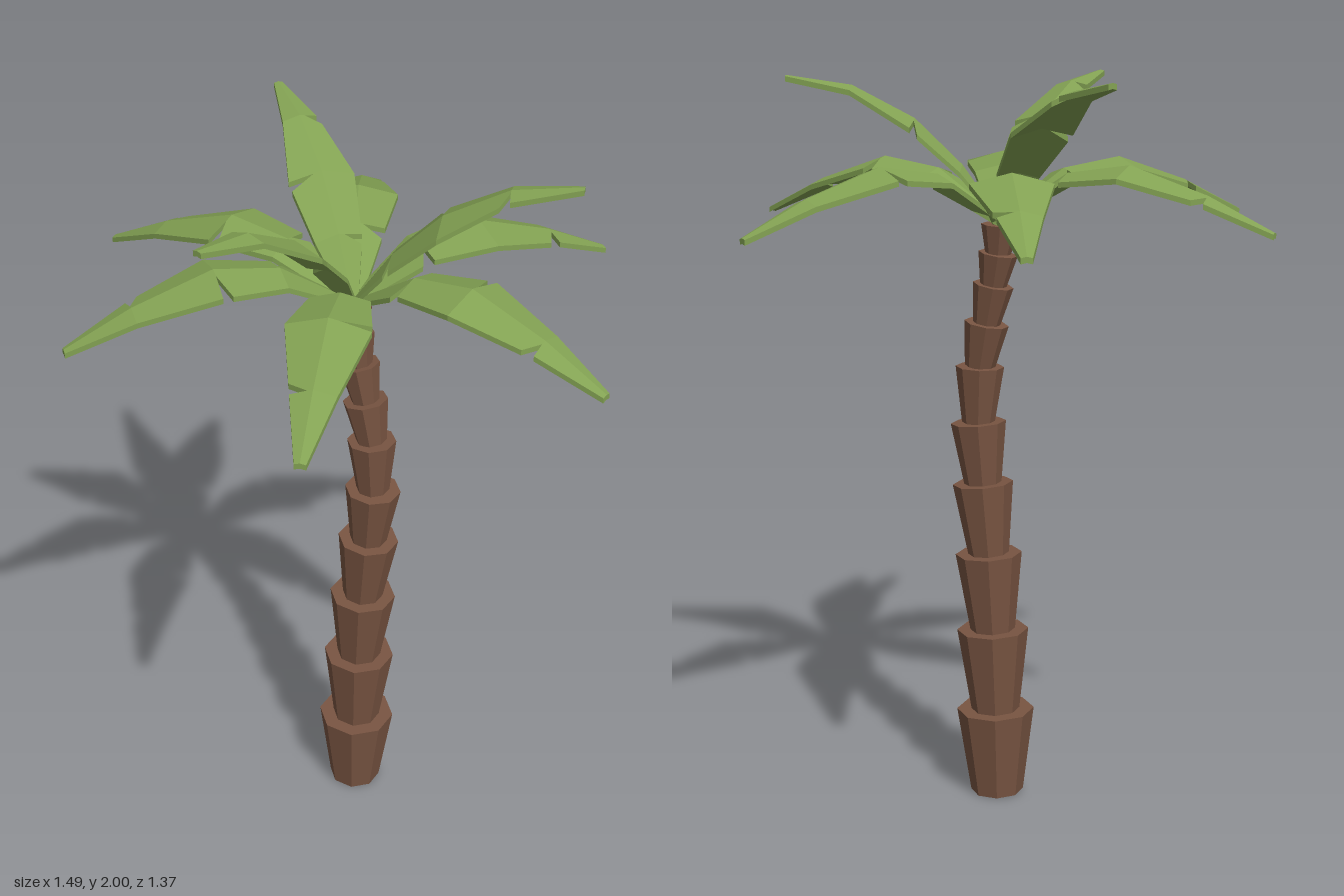
import * as THREE from 'three';

const bark = new THREE.MeshStandardMaterial({ color: 0x795542, flatShading: true });
bark.name = 'bark brown';
const leaf = new THREE.MeshStandardMaterial({ color: 0x83a253, flatShading: true });
leaf.name = 'leaf green';

const CENTER_Z = -0.02;

// Top of each trunk segment: x, y, half width
const RINGS = [
  [0.015, 0.245, 0.1], [0.023, 0.48, 0.092], [0.035, 0.7, 0.085], [0.052, 0.9, 0.077],
  [0.065, 1.07, 0.07], [0.06, 1.225, 0.061], [0.04, 1.345, 0.056], [0.02, 1.45, 0.051],
  [0.006, 1.535, 0.049], [0, 1.612, 0.047],
];

// Frond spines: distance from the crown, height above its base
const DROOPING = [[0, 0], [0.19, 0.125], [0.36, 0.15], [0.57, 0.08], [0.745, -0.005]];
const RAISED = [[0, 0], [0.1, 0.14], [0.225, 0.26], [0.39, 0.345], [0.565, 0.37]];
const WIDTHS = [0.02, 0.075, 0.105, 0.056, 0.014];

// Trunk of stacked, flared octagonal segments following the bend
function makeTrunk() {
  const trunk = new THREE.Group();
  trunk.name = 'trunk';
  let base = new THREE.Vector3(0.01, 0, CENTER_Z);
  const up = new THREE.Vector3(0, 1, 0);
  RINGS.forEach(([x, y, half], i) => {
    const top = new THREE.Vector3(x, y, CENTER_Z);
    const dir = top.clone().sub(base);
    const r = half / Math.cos(Math.PI / 8);
    const geo = new THREE.CylinderGeometry(r, r * 0.68, dir.length(), 8);
    geo.rotateY(Math.PI / 8);
    const segment = new THREE.Mesh(geo, bark);
    segment.name = `trunkSegment${i + 1}`;
    segment.position.copy(base).add(top).multiplyScalar(0.5);
    segment.quaternion.setFromUnitVectors(up, dir.normalize());
    trunk.add(segment);
    base = top;
  });
  return trunk;
}

// Ridged leaf along +x, cut by notches alternating between its two sides
function frondGeometry(spine, scale) {
  const thick = 0.014;
  const pos = [];
  const at = (t) => {
    const i = Math.min(Math.floor(t), spine.length - 2);
    const f = t - i;
    const mix = (a, b) => a + (b - a) * f;
    return {
      r: mix(spine[i][0], spine[i + 1][0]),
      y: mix(spine[i][1], spine[i + 1][1]),
      w: mix(WIDTHS[i], WIDTHS[i + 1]) * scale,
    };
  };
  const tri = (a, b, c) => pos.push(...a, ...b, ...c);
  const quad = (a, b, c, d, flip) => {
    if (flip) [b, d] = [d, b];
    tri(a, b, c);
    tri(a, c, d);
  };
  for (const side of [1, -1]) {
    // Outline as [station, fraction of full width]
    const line = [];
    for (let k = 0; k <= 4; k++) {
      const notched = k > 0 && k < 4 && (k % 2 === 1) === (side === 1);
      if (notched) line.push([k - 0.13, 1], [k, 0.25], [k + 0.02, 1]);
      else line.push([k, 1]);
    }
    const flip = side < 0;
    const sections = line.map(([t, f]) => {
      const { r, y, w } = at(t);
      const edgeY = y - w * f * 0.25;
      return {
        s: [r, y, 0], e: [r, edgeY, side * w * f],
        sb: [r, y - thick, 0], eb: [r, edgeY - thick, side * w * f],
      };
    });
    for (let i = 0; i < sections.length - 1; i++) {
      const a = sections[i], b = sections[i + 1];
      quad(a.s, a.e, b.e, b.s, flip);
      quad(a.sb, b.sb, b.eb, a.eb, flip);
      quad(a.e, a.eb, b.eb, b.e, flip);
    }
    // End caps
    const first = sections[0], last = sections[sections.length - 1];
    quad(first.s, first.sb, first.eb, first.e, flip);
    quad(last.s, last.e, last.eb, last.sb, flip);
  }
  const geo = new THREE.BufferGeometry();
  geo.setAttribute('position', new THREE.Float32BufferAttribute(pos, 3));
  geo.computeVertexNormals();
  return geo;
}

// Crown: six drooping fronds and three raised ones, aimed at their tips
function makeCrown() {
  const crown = new THREE.Group();
  crown.name = 'crown';
  crown.position.set(0, 1.63, CENTER_Z);
  const addFronds = (name, geo, tips) => tips.forEach(([x, z], i) => {
    const frond = new THREE.Mesh(geo, leaf);
    frond.name = `${name}${i + 1}`;
    frond.rotation.y = -Math.atan2(z - CENTER_Z, x);
    crown.add(frond);
  });
  addFronds('droopingFrond', frondGeometry(DROOPING, 1), [
    [-0.74, -0.02], [0.74, 0.065], [-0.345, -0.68], [0.425, -0.635], [0.27, 0.675], [-0.485, 0.54],
  ]);
  addFronds('raisedFrond', frondGeometry(RAISED, 0.85), [
    [0.55, -0.2], [-0.41, -0.355], [-0.075, 0.535],
  ]);
  return crown;
}

export function createModel() {
  const model = new THREE.Group();
  model.name = 'palmTree';
  model.add(makeTrunk(), makeCrown());
  return model;
}
